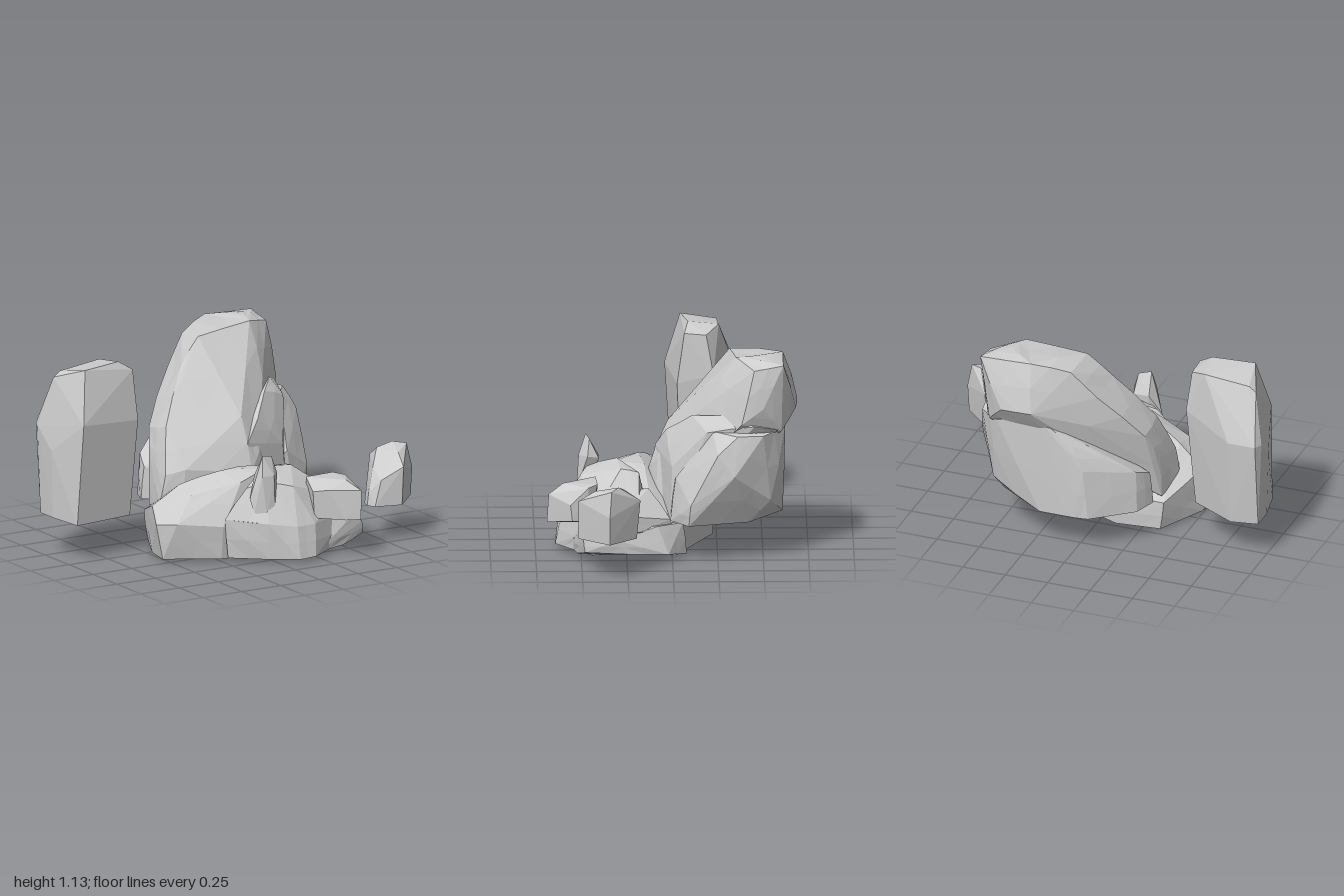
import * as THREE from 'three';
import { ConvexGeometry } from 'three/addons/geometries/ConvexGeometry.js';

const stone = new THREE.MeshStandardMaterial({ color: 0xcccccc });
stone.name = 'grey stone';

// Repeatable value in -1..1 for a position, so shared corners move together
function hash(v) {
  const s = Math.sin(Math.round(v.x * 500) * 12.99 + Math.round(v.y * 500) * 78.23 + Math.round(v.z * 500) * 37.72) * 43758.5;
  return (s - Math.floor(s)) * 2 - 1;
}

// Faceted rock from its corner points; rough > 0 splits the facets and chips them
function rock(name, corners, rough = 0) {
  let geo = new ConvexGeometry(corners.map((c) => new THREE.Vector3(...c)));
  if (rough > 0) {
    geo.computeBoundingBox();
    const centre = geo.boundingBox.getCenter(new THREE.Vector3());
    const p = geo.attributes.position;
    const out = [];
    const chip = (a, b) => {
      const m = a.clone().add(b).multiplyScalar(0.5);
      const level = Math.abs(a.y - b.y) < 0.025 && a.y < 0.23;
      const amount = level ? 0 : rough * Math.min(1, a.distanceTo(b) * 3) * (hash(m) * 0.7 + 0.4);
      return m.add(m.clone().sub(centre).normalize().multiplyScalar(amount));
    };
    for (let i = 0; i < p.count; i += 3) {
      const [a, b, c] = [0, 1, 2].map((k) => new THREE.Vector3().fromBufferAttribute(p, i + k));
      const ab = chip(a, b), bc = chip(b, c), ca = chip(c, a);
      out.push(a, ab, ca, ab, b, bc, ca, bc, c, ab, bc, ca);
    }
    geo = new THREE.BufferGeometry().setFromPoints(out);
    geo.computeVertexNormals();
  }
  const mesh = new THREE.Mesh(geo, stone);
  mesh.name = name;
  return mesh;
}

export function createModel() {
  const group = new THREE.Group();
  group.name = 'rockFormation';

  // Tall standing stone
  group.add(rock('standingStone', [
    [-0.98, 0.22, -0.33], [-0.98, 0.22, -0.2], [-0.94, 0.21, -0.01], [-0.57, 0.21, -0.06], [-0.56, 0.21, -0.2], [-0.82, 0.21, -0.34],
    [-1.0, 0.72, -0.33], [-0.98, 0.72, -0.38], [-0.99, 0.6, -0.2], [-0.92, 0.78, 0.025], [-0.53, 0.75, -0.04], [-0.52, 0.8, -0.24], [-0.82, 0.72, -0.38],
    [-0.94, 1.0, -0.26], [-0.86, 1.07, -0.06], [-0.62, 1.08, -0.1], [-0.54, 1.03, -0.08],
    [-0.54, 1.02, -0.2], [-0.64, 1.06, -0.27], [-0.9, 1.03, -0.26],
  ]));

  // Great leaning slab
  group.add(rock('leaningSlab', [
    [-0.36, 0.21, -0.2], [-0.4, 0.25, -0.02], [-0.3, 0.22, 0.05], [0.1, 0.22, 0.12], [0.25, 0.25, 0.08],
    [-0.37, 0.42, -0.01], [-0.28, 0.45, 0.05], [0.1, 0.42, 0.13], [0.18, 0.5, 0.08], [0.1, 0.7, 0.02], [-0.35, 0.45, -0.2],
    [-0.3, 0.66, -0.12], [-0.3, 0.62, -0.3], [-0.1, 0.95, -0.28], [-0.08, 0.9, -0.46],
    [0.2, 0.87, -0.13], [0.36, 0.84, -0.18], [0.03, 1.085, -0.32], [0.38, 1.12, -0.35], [0.05, 1.06, -0.52],
    [0.25, 1.12, -0.61], [0.42, 1.13, -0.48], [0.55, 1.11, -0.61], [0.55, 1.08, -0.45],
    [0.22, 0.85, -0.69], [0.4, 0.84, -0.68], [0.57, 0.87, -0.5], [0.57, 0.78, -0.38], [0.5, 0.73, -0.6], [0.2, 0.72, -0.61],
  ], 0.012));

  // Wedge filling the split between slab and block
  group.add(rock('splitWedge', [
    [0.1, 0.22, 0.11], [0.1, 0.56, 0.09], [0.2, 0.67, 0.03], [0.33, 0.78, -0.11], [0.46, 0.81, -0.27], [0.57, 0.77, -0.45],
    [0.4, 0.22, 0.01], [0.38, 0.5, 0.0], [0.5, 0.72, -0.19], [0.2, 0.4, -0.3], [0.25, 0.73, -0.56], [0.52, 0.74, -0.58],
  ], 0.01));

  // Broad block under the back of the slab
  group.add(rock('backBlock', [
    [0.44, 0.21, 0.01], [0.58, 0.21, -0.09], [0.48, 0.21, -0.42], [0.2, 0.21, -0.61], [0.0, 0.21, -0.61], [-0.08, 0.21, -0.6],
    [-0.3, 0.21, -0.42], [-0.35, 0.22, -0.3], [0.1, 0.21, 0.02],
    [0.6, 0.33, -0.1], [0.64, 0.5, -0.34], [0.5, 0.34, -0.54], [0.42, 0.45, -0.02], [0.62, 0.62, -0.25], [0.6, 0.72, -0.36],
    [0.5, 0.73, -0.22], [0.58, 0.72, -0.5], [0.45, 0.74, -0.62], [0.2, 0.79, -0.62], [0.02, 0.65, -0.59], [-0.05, 0.5, -0.6], [-0.29, 0.45, -0.41], [-0.33, 0.4, -0.3],
  ], 0.01));

  // Wide base stone
  group.add(rock('baseStone', [
    [-0.53, 0.015, 0.22], [-0.5, 0.015, 0.06], [-0.36, 0.015, -0.22], [-0.1, 0.005, -0.23], [0.42, 0.01, -0.02], [0.2, 0, 0.4], [-0.25, 0.015, 0.38],
    [-0.56, 0.21, 0.2], [-0.5, 0.28, 0.06], [-0.48, 0.22, 0.29], [-0.38, 0.18, -0.22], [-0.1, 0.19, -0.23], [0.4, 0.18, -0.03],
    [-0.35, 0.39, 0.1], [-0.36, 0.36, 0.24], [-0.15, 0.455, 0.18], [0.1, 0.45, 0.15], [0.1, 0.46, 0.28], [-0.1, 0.42, 0.34],
    [-0.25, 0.2, 0.4], [0.33, 0.32, 0.12],
  ], 0.01));

  // Bulging front of the base
  group.add(rock('frontBulge', [
    [-0.22, 0.02, 0.4], [-0.04, 0.02, 0.55], [0.1, 0.02, 0.64], [0.2, 0.025, 0.64], [0.32, 0.025, 0.56], [0.35, 0.015, 0.1], [0.5, 0.03, 0.44],
    [-0.24, 0.24, 0.4], [-0.05, 0.22, 0.55], [0.1, 0.2, 0.61], [0.22, 0.2, 0.6], [0.35, 0.25, 0.5], [0.53, 0.19, 0.42],
    [-0.1, 0.4, 0.4], [0.0, 0.43, 0.45], [0.14, 0.4, 0.5], [0.08, 0.48, 0.3], [0.26, 0.46, 0.28], [0.26, 0.44, 0.18], [0.43, 0.3, 0.18], [0.45, 0.3, 0.4],
  ], 0.01));

  // Two layered ledges at the base's left end
  group.add(rock('upperLedge', [
    [0.3, 0.1, 0.1], [0.44, 0.17, 0.0], [0.6, 0.18, 0.2], [0.64, 0.2, 0.27], [0.58, 0.17, 0.48], [0.35, 0.1, 0.48],
    [0.3, 0.36, 0.13], [0.45, 0.22, 0.01], [0.63, 0.28, 0.27], [0.52, 0.31, 0.27], [0.56, 0.25, 0.45], [0.38, 0.34, 0.42],
  ], 0.01));
  group.add(rock('lowerLedge', [
    [0.2, 0.005, 0.0], [0.4, 0.015, -0.08], [0.55, 0.045, 0.02], [0.6, 0.06, 0.25], [0.6, 0.07, 0.48], [0.45, 0.03, 0.52], [0.25, 0.02, 0.56],
    [0.4, 0.19, -0.06], [0.53, 0.2, 0.08], [0.61, 0.14, 0.3], [0.55, 0.2, 0.3], [0.53, 0.19, 0.5], [0.59, 0.14, 0.49], [0.4, 0.2, 0.5],
  ], 0.01));

  // Small angular rock resting on the front
  group.add(rock('frontChunk', [
    [0.24, 0.22, 0.56], [0.28, 0.22, 0.42], [0.5, 0.22, 0.46], [0.53, 0.23, 0.55], [0.46, 0.21, 0.69], [0.38, 0.21, 0.66],
    [0.23, 0.37, 0.56], [0.27, 0.42, 0.42], [0.45, 0.42, 0.41], [0.5, 0.41, 0.46], [0.53, 0.32, 0.56], [0.47, 0.37, 0.68], [0.42, 0.42, 0.6], [0.3, 0.38, 0.61],
  ]));

  // Upright shard
  group.add(rock('shard', [
    [-0.04, 0.59, 0.47], [0.03, 0.575, 0.45], [0.06, 0.48, 0.46], [0.04, 0.47, 0.4], [-0.05, 0.47, 0.4], [-0.06, 0.48, 0.5], [0.01, 0.48, 0.51],
    [-0.11, 0.35, 0.45], [-0.1, 0.28, 0.48], [-0.04, 0.24, 0.52], [0.01, 0.29, 0.52], [-0.04, 0.25, 0.42],
  ]));

  // Small separate stone
  group.add(rock('smallStone', [
    [0.66, 0.205, 0.43], [0.68, 0.205, 0.37], [0.83, 0.205, 0.2], [0.99, 0.205, 0.35], [0.83, 0.205, 0.52], [0.68, 0.205, 0.48],
    [0.67, 0.28, 0.43], [0.74, 0.4, 0.36], [0.83, 0.42, 0.18], [1.0, 0.36, 0.35], [0.84, 0.42, 0.52], [0.72, 0.35, 0.48],
    [0.82, 0.48, 0.27], [0.9, 0.51, 0.3], [0.97, 0.5, 0.34], [0.86, 0.48, 0.43],
  ]));

  return group;
}
